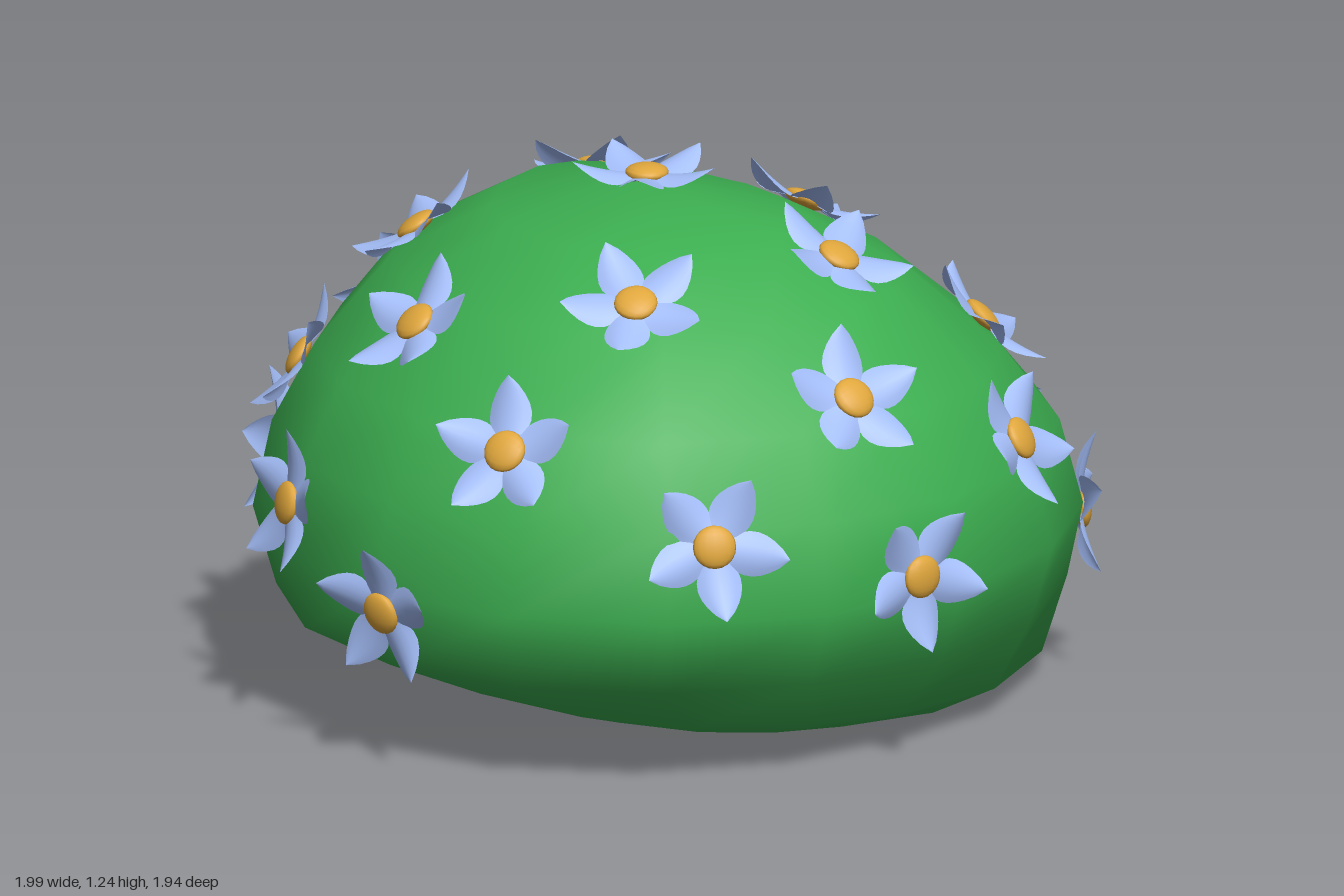
import * as THREE from 'three';

const SEGMENTS = 16;

// Cross-sections of the mound, bottom to top:
// height, reach to -x, +x, -z, +z, and extra reach at the low front corner
const RINGS = [
  [0.02, 0.40, 0.50, 0.35, 0.50, 0.40],
  [0.09, 0.62, 0.77, 0.70, 0.70, 0.12],
  [0.24, 0.91, 0.92, 0.88, 0.84, 0],
  [0.42, 0.955, 0.92, 0.94, 0.91, 0],
  [0.62, 0.91, 0.855, 0.90, 0.87, 0],
  [0.80, 0.82, 0.70, 0.80, 0.765, 0],
  [1.00, 0.63, 0.455, 0.65, 0.57, 0],
  [1.12, 0.40, 0.23, 0.43, 0.34, 0],
];

// Blossoms: x, y, z and the angle of the first petal in degrees
const BLOSSOMS = [
  [-0.07, 0.82, -0.81, 18], [0.40, 0.76, -0.69, 43], [-0.57, 0.76, -0.64, 65],
  [-0.34, 1.05, -0.49, 45], [0.20, 1.06, -0.45, 23], [0.64, 0.80, -0.25, 18],
  [-0.65, 0.94, -0.16, 6], [-0.06, 1.19, -0.03, 0], [0.40, 1.04, 0.01, 18],
  [0.89, 0.52, 0.11, 28], [-0.85, 0.53, -0.35, 18], [-0.82, 0.78, 0.26, 18],
  [-0.44, 1.05, 0.31, 62], [0.08, 1.08, 0.44, 38], [0.54, 0.85, 0.46, 25],
  [-0.15, 0.85, 0.71, 65], [0.30, 0.68, 0.80, 43], [-0.12, 0.47, 0.90, 54],
  [-0.55, 0.58, 0.66, 60], [0.70, 0.39, 0.59, 8], [-0.42, 0.48, -0.86, 22],
  [0.20, 0.42, -0.93, 18], [0.73, 0.43, -0.53, 28], [-0.95, 0.38, 0.02, 18],
];

// Closed, slightly lopsided mound lofted through the rings
function moundGeometry() {
  const points = [];
  for (const [height, left, right, back, front, corner] of RINGS) {
    for (let j = 0; j < SEGMENTS; j++) {
      const a = (j / SEGMENTS) * Math.PI * 2;
      const bulge = 1 + corner * Math.max(0, Math.cos(a - Math.PI / 4)) ** 6;
      const x = Math.cos(a) * (Math.cos(a) > 0 ? right : left) * bulge;
      const z = Math.sin(a) * (Math.sin(a) > 0 ? front : back) * bulge;
      const tilt = height < 0.1 ? 0.03 * x + 0.02 * z : 0;
      points.push(x, Math.max(0, height - tilt), z);
    }
  }
  const bottom = points.length / 3, top = bottom + 1;
  points.push(0.03, 0.025, 0, -0.06, 1.185, -0.03);

  const faces = [];
  const last = (RINGS.length - 1) * SEGMENTS;
  for (let j = 0; j < SEGMENTS; j++) {
    const k = (j + 1) % SEGMENTS;
    faces.push(bottom, j, k, last + j, top, last + k);
    for (let i = 0; i < last; i += SEGMENTS) {
      faces.push(i + j, i + SEGMENTS + j, i + k);
      faces.push(i + k, i + SEGMENTS + j, i + SEGMENTS + k);
    }
  }
  const geometry = new THREE.BufferGeometry();
  geometry.setAttribute('position', new THREE.Float32BufferAttribute(points, 3));
  geometry.setIndex(faces);
  geometry.computeVertexNormals();
  return geometry;
}

// Pointed petal along +x, facing +z, with a rising tip and drooping edges
function petalGeometry() {
  const geometry = new THREE.PlaneGeometry(1, 2, 8, 6);
  const p = geometry.attributes.position;
  for (let i = 0; i < p.count; i++) {
    const t = p.getX(i) + 0.5, side = p.getY(i);
    const halfWidth = 0.051 * Math.pow(Math.max(0, Math.sin(Math.PI * (0.1 + 0.9 * t))), 0.8);
    p.setXYZ(i, 0.02 + 0.15 * t, side * halfWidth,
      0.012 + 0.012 * t + 0.024 * t * t - 0.018 * side * side * Math.sin(Math.PI * t));
  }
  geometry.computeVertexNormals();
  return geometry;
}

export function createModel() {
  const model = new THREE.Group();
  const green = new THREE.MeshStandardMaterial({ color: 0x3cae50 });
  const blue = new THREE.MeshStandardMaterial({ color: 0xa6c0fb, side: THREE.DoubleSide });
  const gold = new THREE.MeshStandardMaterial({ color: 0xdfa63c });

  const mound = new THREE.Mesh(moundGeometry(), green);
  mound.name = 'mound';
  model.add(mound);

  const petal = petalGeometry();
  const heart = new THREE.SphereGeometry(0.049, 16, 10);
  heart.scale(1, 1, 0.4);

  const core = new THREE.Vector3(-0.03, 0.35, 0);
  const ray = new THREE.Raycaster();
  for (const [x, y, z, angle] of BLOSSOMS) {
    // Drop the blossom onto the mound, facing along its normal
    const outward = new THREE.Vector3(x, y, z).sub(core).normalize();
    ray.set(core.clone().addScaledVector(outward, 3), outward.clone().negate());
    const hit = ray.intersectObject(mound)[0];
    const normal = hit.normal.clone().normalize();
    const up = y > 0.75 ? new THREE.Vector3(0, 0, -1) : new THREE.Vector3(0, 1, 0);
    const right = up.cross(normal).normalize();
    const tangent = normal.clone().cross(right);

    const blossom = new THREE.Group();
    blossom.name = 'blossom';
    blossom.quaternion.setFromRotationMatrix(new THREE.Matrix4().makeBasis(right, tangent, normal));
    blossom.position.copy(hit.point).addScaledVector(normal, 0.004);

    for (let i = 0; i < 5; i++) {
      const leaf = new THREE.Mesh(petal, blue);
      leaf.name = 'petal';
      leaf.rotation.z = THREE.MathUtils.degToRad(angle + i * 72);
      blossom.add(leaf);
    }
    const middle = new THREE.Mesh(heart, gold);
    middle.name = 'blossomCentre';
    middle.position.z = 0.016;
    blossom.add(middle);
    model.add(blossom);
  }
  return model;
}
